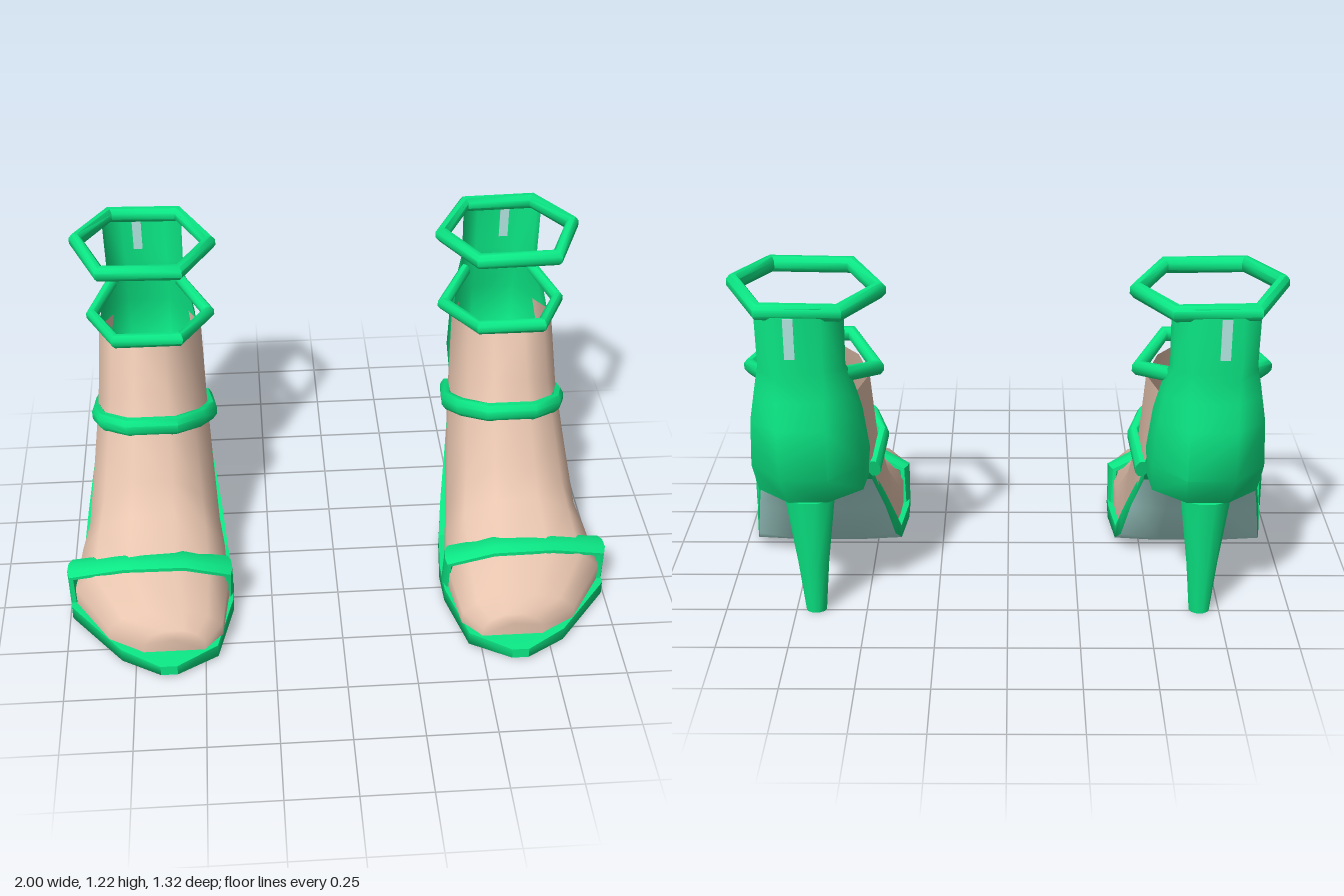
import * as THREE from 'three';
import { toCreasedNormals } from 'three/addons/utils/BufferGeometryUtils.js';

const mat = (name, color) => new THREE.MeshStandardMaterial({ name, color, side: THREE.DoubleSide });

// Skin a surface over rings of [x, y, z] points; s = -1 mirrors it across x = 0.
// paint lists a material index for each strip between neighbouring ring points.
function loft(rings, s, { closed = true, capStart = false, capEnd = false, loop = false, crease = 0.7, paint = null } = {}) {
  const pos = [];
  const n = rings[0].length;
  const g = new THREE.BufferGeometry();
  const tri = (a, b, c) => {
    for (const p of s > 0 ? [a, b, c] : [a, c, b]) pos.push(p[0] * s, p[1], p[2]);
  };
  const last = loop ? rings.length : rings.length - 1;
  for (let i = 0; i < (closed ? n : n - 1); i++) {
    const start = pos.length / 3;
    const j = (i + 1) % n;
    for (let r = 0; r < last; r++) {
      const A = rings[r], B = rings[(r + 1) % rings.length];
      tri(A[i], A[j], B[j]);
      tri(A[i], B[j], B[i]);
    }
    if (paint) g.addGroup(start, pos.length / 3 - start, paint[i]);
  }
  const cap = (R, flip) => {
    const c = [0, 1, 2].map(k => R.reduce((t, p) => t + p[k], 0) / n);
    R.forEach((p, i) => {
      const q = R[(i + 1) % n];
      flip ? tri(c, q, p) : tri(c, p, q);
    });
  };
  if (capStart) cap(rings[0], true);
  if (capEnd) cap(rings[rings.length - 1], false);
  g.setAttribute('position', new THREE.Float32BufferAttribute(pos, 3));
  return toCreasedNormals(g, crease);
}

// Padded band swept along straight runs between points, mitred at the corners.
function band(points, up, width, thick, s, loop = false) {
  const P = points.map(p => new THREE.Vector3(...p));
  const N = P.length;
  const rings = P.map((p, i) => {
    const prev = P[loop ? (i + N - 1) % N : Math.max(i - 1, 0)];
    const next = P[loop ? (i + 1) % N : Math.min(i + 1, N - 1)];
    const d1 = p.clone().sub(prev).normalize(), d2 = next.clone().sub(p).normalize();
    const t = d1.clone().add(d2).normalize();
    const mitre = 1 / Math.max(t.dot(d2), 0.6);
    const side = t.clone().cross(up).normalize();
    const v = side.clone().cross(t).normalize();
    const atEnd = !loop && (i === 0 || i === N - 1);
    return Array.from({ length: 8 }, (_, k) => {
      const a = (k + 0.5) * Math.PI / 4;
      return p.clone().addScaledVector(side, Math.cos(a) * thick * 0.54 * (atEnd ? 1 : mitre))
        .addScaledVector(v, Math.sin(a) * width * 0.54).toArray();
    });
  });
  return loft(rings, s, { loop, capStart: !loop, capEnd: !loop, crease: 0.9 });
}

function buildShoe(s, m) {
  const shoe = new THREE.Group();
  shoe.name = s > 0 ? 'leftShoe' : 'rightShoe';
  const add = (name, geometry, material) => {
    const mesh = new THREE.Mesh(geometry, material);
    mesh.name = name;
    shoe.add(mesh);
    return mesh;
  };

  // Sole stations: z, inner x, outer x, top y, edge bottom y, centre bottom y
  const sole = [
    [0.655, 0.60, 0.66, 0.05, 0.01, 0.008],
    [0.57, 0.455, 0.80, 0.06, 0.008, 0.002],
    [0.33, 0.395, 0.99, 0.06, 0.006, 0],
    [0.20, 0.392, 0.988, 0.06, 0.006, 0],
    [0.02, 0.41, 0.96, 0.063, 0.012, 0.003],
    [-0.08, 0.425, 0.94, 0.175, 0.082, 0.062],
    [-0.20, 0.45, 0.91, 0.32, 0.262, 0.245],
    [-0.36, 0.48, 0.87, 0.495, 0.45, 0.445],
  ];
  const insole = sole.map(([z, a, b, t]) => [[a, t, z], [b, t, z]]);
  const under = sole.map(([z, a, b, t, e, c]) => {
    const w = (b - a) * 0.28;
    return [[b, t, z], [b, e, z], [b - w, c, z], [a + w, c, z], [a, e, z], [a, t, z]];
  });
  add('insole', loft(insole, s, { closed: false }), m.green);
  add('outsoleAndRim', loft(under, s, { closed: false, crease: 1.7, paint: [0, 1, 1, 1, 0] }), [m.green, m.pale]);
  add('soleTip', loft([insole[0], [under[0][4], under[0][1]]], s, { closed: false }), m.green);

  // Heel cup levels: y, front z, half width, back z, half width at the back
  const cx = 0.68;
  const cup = [
    [0.465, -0.35, 0.19, -0.57, 0.07],
    [0.59, -0.385, 0.20, -0.66, 0.08],
    [0.77, -0.455, 0.187, -0.66, 0.08],
    [0.86, -0.49, 0.17, -0.637, 0.08],
    [0.94, -0.525, 0.152, -0.633, 0.08],
    [0.965, -0.545, 0.145, -0.633, 0.08],
    [1.19, -0.55, 0.148, -0.633, 0.08],
  ].map(([y, zf, w, zb, wb]) => {
    const zm = zf * 0.45 + zb * 0.55;
    return [[-w, zf], [-w * 0.95, zm], [-wb, zb], [wb, zb], [w * 0.95, zm], [w, zf]].map(([x, z]) => [cx + x, y, z]);
  });
  add('heelCup', loft(cup, s, { closed: false, crease: 1 }), m.green);
  const rim = cup[0];
  const lowRim = rim.map(([x, , z]) => [cx + (x - cx) * 0.6, 0.442, -0.47 + (z + 0.47) * 0.6]);
  add('heelCupBase', loft([lowRim, rim], s, { capStart: true, capEnd: true }), m.green);
  // Pale lining in the floor and on the back strip
  add('floorLining', new THREE.BoxGeometry(0.31, 0.008, 0.1), m.pale).position.set(cx * s, 0.475, -0.412);
  add('stripLining', new THREE.BoxGeometry(0.034, 0.14, 0.008), m.pale).position.set(0.705 * s, 1.085, -0.633);

  // Stiletto: y, centre z, depth radius, width radius
  const stiletto = [
    [0, -0.493, 0.028, 0.036],
    [0.2, -0.508, 0.038, 0.054],
    [0.46, -0.521, 0.056, 0.086],
  ].map(([y, z, rz, rx]) => Array.from({ length: 10 }, (_, k) => {
    const a = -k * Math.PI / 5;
    return [cx + Math.cos(a) * rx, y, z + Math.sin(a) * rz];
  }));
  add('stilettoHeel', loft(stiletto, s, { capStart: true, capEnd: true }), m.green);

  // Foot arches: centre x, half width, base y, base z, top y, top z, base width factor
  const arch = [[-1, 0], [-1, 0.4], [-0.75, 0.77], [-0.32, 1], [0.28, 1], [0.73, 0.77], [1, 0.4], [1, 0]];
  const foot = [
    [0.61, 0.11, 0.058, 0.585, 0.155, 0.585, 1],
    [0.64, 0.205, 0.058, 0.51, 0.185, 0.51, 1],
    [0.69, 0.28, 0.058, 0.31, 0.25, 0.33, 1],
    [0.685, 0.265, 0.058, 0.12, 0.33, 0.15, 1],
    [0.68, 0.245, 0.06, 0.0, 0.435, 0.085, 1],
    [0.675, 0.225, 0.26, -0.17, 0.57, 0.0, 1],
    [0.67, 0.205, 0.485, -0.36, 0.72, -0.075, 0.95],
    [0.665, 0.19, 0.82, -0.48, 0.885, -0.15, 0.75],
  ].map(([x, w, by, bz, ty, tz, k]) => arch.map(([u, t]) =>
    [x + u * w * (t === 0 ? k : 1), by + (ty - by) * t, bz + (tz - bz) * t]));
  add('foot', loft(foot, s, { closed: false, capStart: true, crease: 1.65 }), m.skin);

  // Straps
  const Y = new THREE.Vector3(0, 1, 0), Z = new THREE.Vector3(0, 0, 1);
  add('ankleStrap', band([[0.545, 1.17, -0.615], [0.43, 1.168, -0.39], [0.54, 1.18, -0.165],
    [0.82, 1.185, -0.165], [0.915, 1.195, -0.39], [0.805, 1.175, -0.615]], Y, 0.055, 0.042, s, true), m.green);
  add('lowerAnkleStrap', band([[0.55, 0.925, -0.54], [0.445, 0.88, -0.37], [0.55, 0.915, -0.14],
    [0.78, 0.915, -0.14], [0.88, 0.885, -0.37], [0.81, 0.925, -0.54]], Y, 0.05, 0.038, s), m.green);
  add('instepStrap', band([[0.47, 0.495, -0.37], [0.452, 0.55, -0.2], [0.492, 0.585, -0.105], [0.58, 0.615, -0.022],
    [0.75, 0.615, -0.022], [0.845, 0.585, -0.105], [0.876, 0.55, -0.2], [0.872, 0.495, -0.37]], Y, 0.068, 0.045, s), m.green);
  add('toeStrap', band([[0.41, 0.04, 0.265], [0.412, 0.185, 0.285], [0.57, 0.255, 0.325],
    [0.78, 0.245, 0.31], [0.98, 0.18, 0.26], [0.98, 0.04, 0.26]], Z, 0.092, 0.034, s), m.green);
  return shoe;
}

export function createModel() {
  const m = {
    green: mat('green leather', 0x0cf08a),
    pale: mat('pale sole', 0xb2e6e0),
    skin: mat('skin', 0xeac7b1),
  };
  const model = new THREE.Group();
  model.name = 'heeledSandals';
  model.add(buildShoe(1, m), buildShoe(-1, m));
  return model;
}
